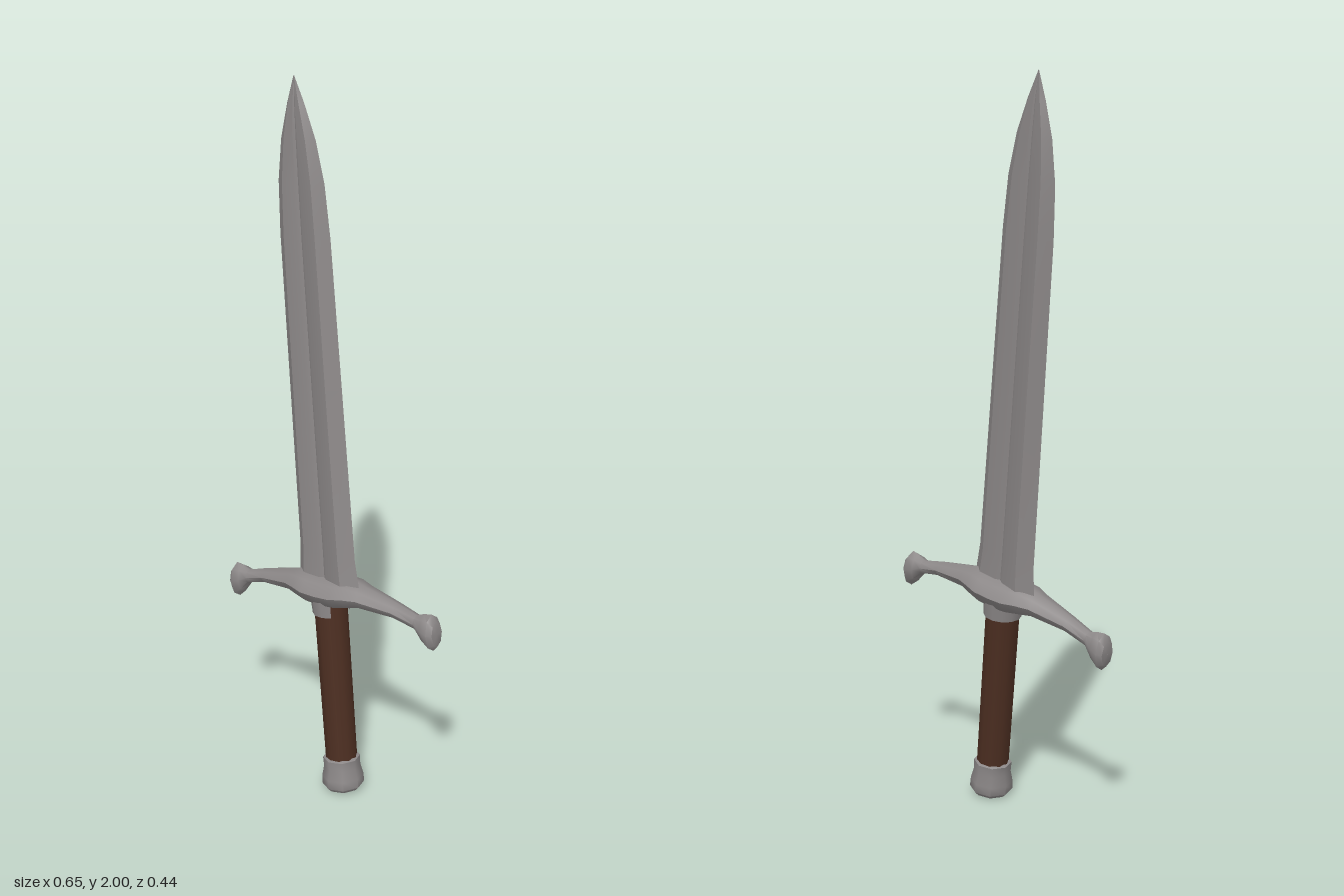
import * as THREE from 'three';
import { toCreasedNormals } from 'three/addons/utils/BufferGeometryUtils.js';

// Skin a list of equal-length rings of [x, y, z] points.
function loft(rings, crease) {
  const n = rings[0].length, index = [];
  for (let i = 0; i < rings.length - 1; i++) {
    for (let j = 0; j < n; j++) {
      const a = i * n + j, b = i * n + (j + 1) % n, c = a + n, d = b + n;
      index.push(a, c, b, b, c, d);
    }
  }
  const geo = new THREE.BufferGeometry();
  geo.setAttribute('position', new THREE.Float32BufferAttribute(rings.flat(2), 3));
  geo.setIndex(index);
  geo.computeVertexNormals();
  return toCreasedNormals(geo, crease);
}

export function createModel() {
  const steel = new THREE.MeshStandardMaterial({ color: 0x8c8888, side: THREE.DoubleSide });
  steel.name = 'steel';
  const leather = new THREE.MeshStandardMaterial({ color: 0x4c2e21 });
  leather.name = 'brown leather';

  const sword = new THREE.Group();
  sword.name = 'sword';
  const add = (name, geo, mat) => {
    const mesh = new THREE.Mesh(geo, mat);
    mesh.name = name;
    sword.add(mesh);
    return mesh;
  };

  // Blade: bevelled edges with a shallow fuller; rows are height, half width, half thickness
  const bladeRows = [
    [0.6, 0.125, 0.03], [0.65, 0.122, 0.028], [0.72, 0.113, 0.026], [1.2, 0.106, 0.024],
    [1.6, 0.1, 0.021], [1.74, 0.091, 0.018], [1.85, 0.068, 0.014], [1.94, 0.034, 0.009],
    [2.011, 0.0005, 0.0005],
  ];
  const bladeSection = [[1, 0], [0.62, 1], [0.12, 0.85], [0, 0.6], [-0.12, 0.85], [-0.62, 1],
    [-1, 0], [-0.62, -1], [-0.12, -0.85], [0, -0.6], [0.12, -0.85], [0.62, -1]];
  const blade = add('blade', loft(bladeRows.map(([y, w, t]) =>
    bladeSection.map(([u, v]) => [u * w, y, v * t])), 0.4), steel);
  blade.rotation.y = -0.06;

  // Crossguard: drooping arms with flared ends; rows are x, centre height, half height, half depth
  const armRows = [
    [0, 0.612, 0.045, 0.068], [0.05, 0.614, 0.043, 0.068], [0.09, 0.618, 0.04, 0.058],
    [0.13, 0.617, 0.031, 0.044], [0.24, 0.603, 0.021, 0.027], [0.31, 0.585, 0.02, 0.021],
    [0.335, 0.574, 0.04, 0.028], [0.36, 0.566, 0.052, 0.032], [0.374, 0.565, 0.036, 0.022],
    [0.375, 0.565, 0.001, 0.001],
  ];
  const guardRows = [
    ...armRows.slice(1).reverse().map(([x, ...rest]) => [-x, ...rest]),
    ...armRows,
  ];
  const guard = add('crossguard', loft(guardRows.map(([x, y, h, d]) =>
    Array.from({ length: 8 }, (_, j) => {
      const a = (j / 8) * Math.PI * 2;
      return [x, y + h * Math.cos(a), -d * Math.sin(a)];
    })), 0.9), steel);
  guard.rotation.y = 0.06;

  // Collar under the guard, open on one side
  const collar = new THREE.CylinderGeometry(0.058, 0.052, 0.08, 9, 1, true, 2.35, 4.7);
  collar.translate(0, 0.585, 0);
  add('collar', collar, steel);

  // Grip
  const grip = new THREE.CylinderGeometry(0.047, 0.045, 0.53, 10);
  grip.translate(0, 0.345, 0);
  add('grip', grip, leather);

  // Pommel: flared cap with a hollowed base
  const pommelProfile = [[0.001, 0.022], [0.03, 0.015], [0.048, 0.003], [0.06, 0.015],
    [0.059, 0.04], [0.052, 0.07], [0.053, 0.098], [0.04, 0.104], [0.001, 0.104]];
  const pommel = new THREE.LatheGeometry(
    pommelProfile.map(([r, y]) => new THREE.Vector2(r, y)), 8);
  add('pommel', toCreasedNormals(pommel, 0.85), steel);

  // Lean the whole sword: its long axis and the line of the guard set the frame
  const axis = new THREE.Vector3(-0.16, 1.995, -0.197).normalize();
  const across = new THREE.Vector3(0.8, 0, 0.6);
  across.addScaledVector(axis, -across.dot(axis)).normalize();
  const normal = new THREE.Vector3().crossVectors(across, axis);
  sword.quaternion.setFromRotationMatrix(new THREE.Matrix4().makeBasis(across, axis, normal));
  sword.position.set(0.04, 0.005, 0.057);

  // Rest on the ground and centre
  const model = new THREE.Group();
  model.name = 'leaningSword';
  model.add(sword);
  model.updateMatrixWorld(true);
  const box = new THREE.Box3().setFromObject(model, true);
  const centre = box.getCenter(new THREE.Vector3());
  sword.position.sub(new THREE.Vector3(centre.x, box.min.y, centre.z));
  return model;
}
